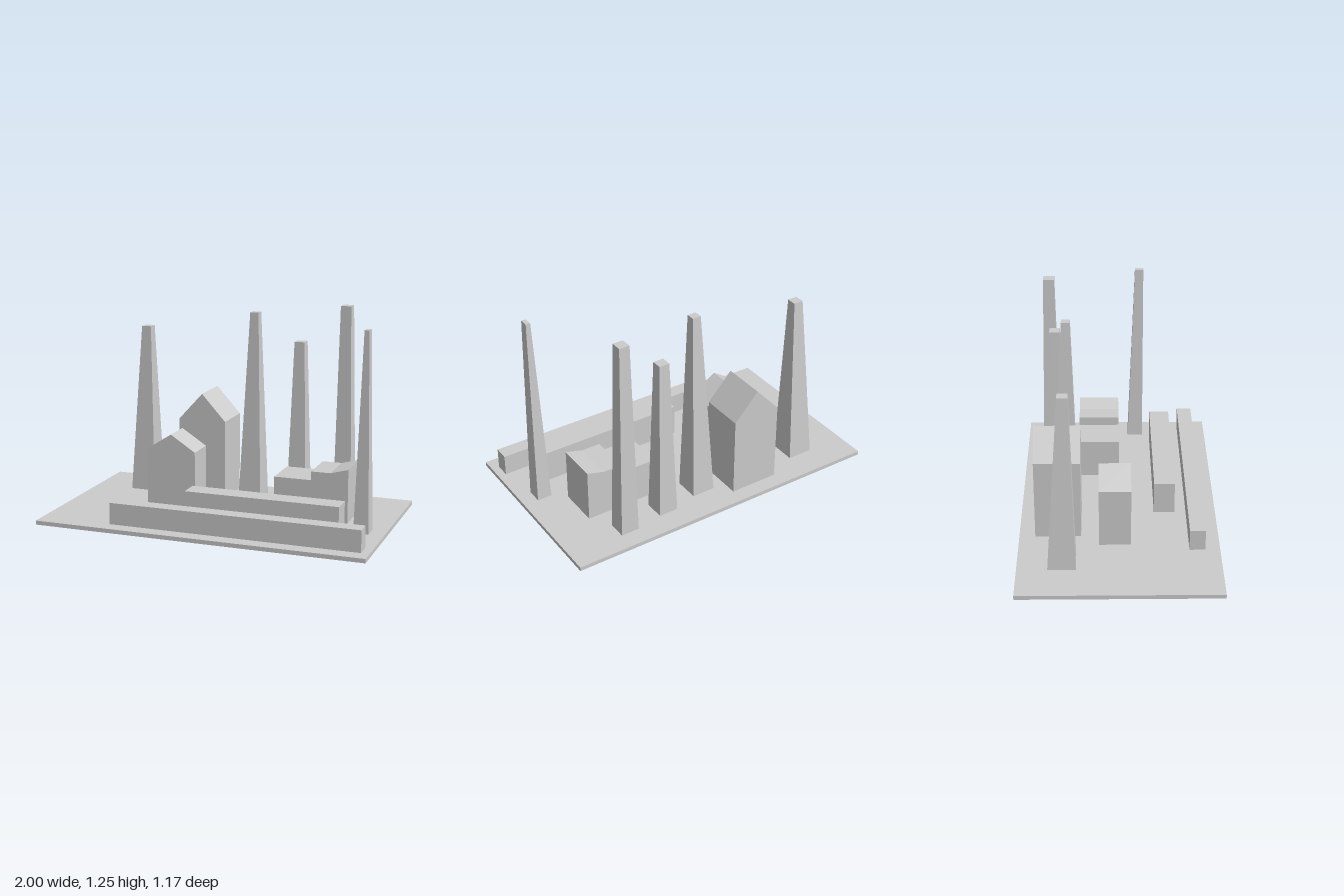
import * as THREE from 'three';

const material = new THREE.MeshStandardMaterial({ color: 0xcccccc, flatShading: true });
const GROUND = 0.025;

export function createModel() {
  const model = new THREE.Group();

  function add(name, geometry) {
    const mesh = new THREE.Mesh(geometry, material);
    mesh.name = name;
    model.add(mesh);
    return mesh;
  }

  // Box given by its limits on each axis
  function block(name, [x0, x1], [y0, y1], [z0, z1]) {
    add(name, new THREE.BoxGeometry(x1 - x0, y1 - y0, z1 - z0))
      .position.set((x0 + x1) / 2, (y0 + y1) / 2, (z0 + z1) / 2);
  }

  // Outline in x and y, extruded from z0 to z1
  function prism(name, points, [z0, z1]) {
    const shape = new THREE.Shape(points.map(([x, y]) => new THREE.Vector2(x, y)));
    add(name, new THREE.ExtrudeGeometry(shape, { depth: z1 - z0, bevelEnabled: false }))
      .position.z = z0;
  }

  // Box whose top and bottom rectangles differ
  function tower(name, height, baseX, baseZ, topX, topZ) {
    const geometry = new THREE.BoxGeometry(1, 1, 1);
    const p = geometry.attributes.position;
    for (let i = 0; i < p.count; i++) {
      const top = p.getY(i) > 0;
      const xs = top ? topX : baseX;
      const zs = top ? topZ : baseZ;
      p.setXYZ(i, xs[p.getX(i) > 0 ? 1 : 0], top ? height : GROUND, zs[p.getZ(i) > 0 ? 1 : 0]);
    }
    geometry.computeVertexNormals();
    add(name, geometry);
  }

  // Gabled house with its ridge along z
  function house(name, [x0, x1], zs, eave, ridge) {
    prism(name, [[x0, GROUND], [x1, GROUND], [x1, eave], [(x0 + x1) / 2, ridge], [x0, eave]], zs);
  }

  // Ground slab
  block('groundSlab', [-1, 1], [0, GROUND], [-0.587, 0.587]);

  // Long low buildings along the front
  block('frontLongBuilding', [-0.56, 0.952], [GROUND, 0.155], [0.408, 0.5]);
  block('secondLongBuilding', [-0.15, 0.78], [GROUND, 0.223], [0.215, 0.34]);

  // Gabled houses
  house('largeHouse', [-0.411, -0.107], [-0.493, -0.223], 0.518, 0.685);
  house('smallHouse', [-0.503, -0.193], [-0.117, 0.07], 0.385, 0.485);

  // Stepped hall with a raised right end
  prism('steppedHall', [
    [0.29, GROUND], [0.743, GROUND], [0.743, 0.35], [0.635, 0.32],
    [0.517, 0.32], [0.517, 0.267], [0.29, 0.267],
  ], [-0.243, 0.008]);

  // Tapering square towers
  tower('farTower', 1.08, [-0.755, -0.597], [-0.41, -0.248], [-0.682, -0.622], [-0.338, -0.278]);
  tower('middleTower', 1.2, [-0.027, 0.117], [-0.4, -0.246], [0.035, 0.088], [-0.332, -0.28]);
  tower('shortTower', 1.023, [0.265, 0.385], [-0.447, -0.32], [0.296, 0.36], [-0.413, -0.35]);
  tower('tallTower', 1.25, [0.55, 0.663], [-0.478, -0.368], [0.572, 0.636], [-0.455, -0.388]);
  tower('slimTower', 1.2, [0.82, 0.91], [0.073, 0.169], [0.86, 0.888], [0.116, 0.169]);

  return model;
}
